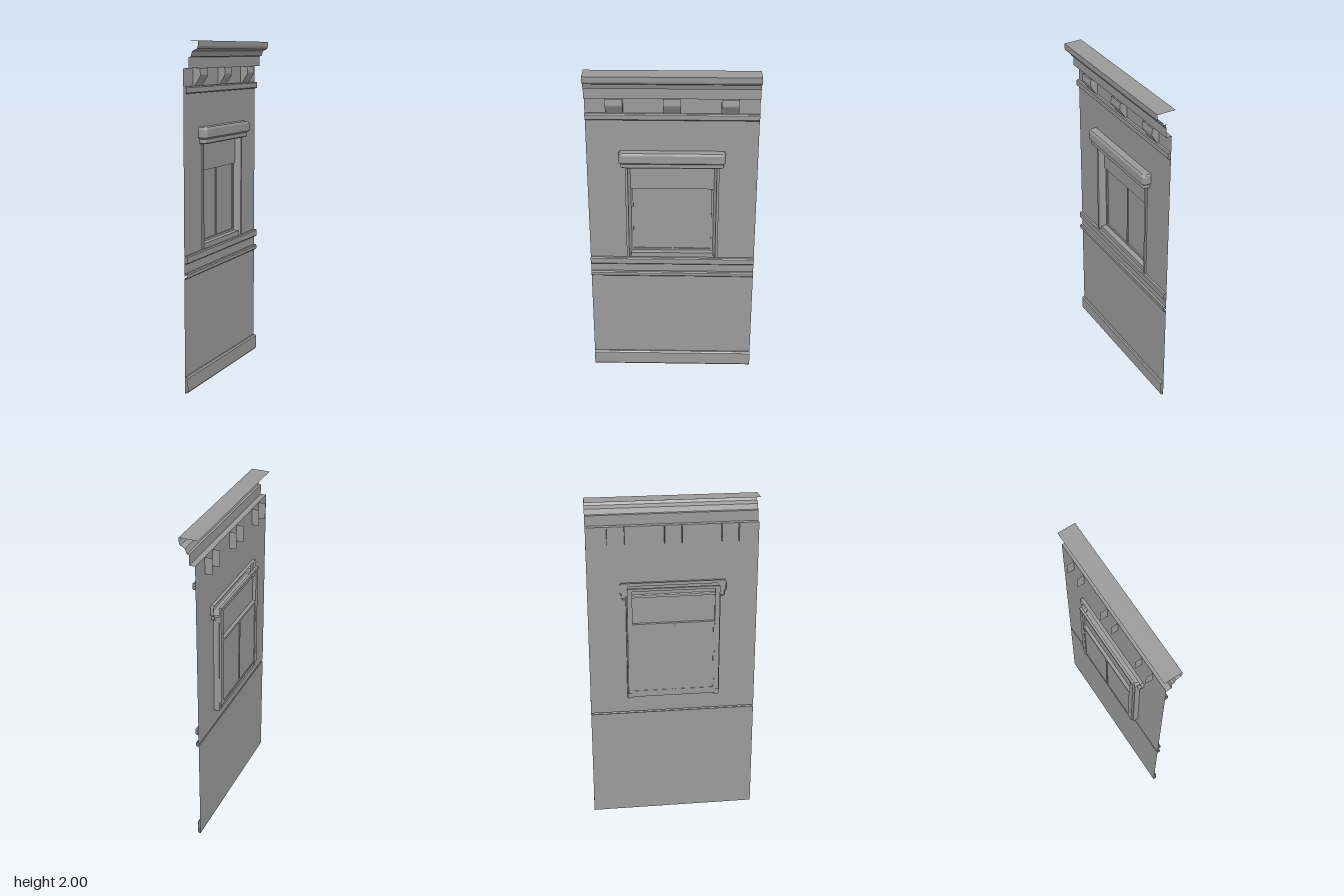
import * as THREE from 'three';

const material = new THREE.MeshStandardMaterial({ color: 0x9a9a9a, flatShading: true, side: THREE.DoubleSide });
const WALL = -0.021;

export function createModel() {
  const model = new THREE.Group();
  model.name = 'facadePanel';

  function add(name, geometry, parent = model) {
    const mesh = new THREE.Mesh(geometry, material);
    mesh.name = name;
    parent.add(mesh);
    return mesh;
  }

  // Box given by its limits on each axis
  function box(name, x0, x1, y0, y1, z0, z1, parent) {
    const g = new THREE.BoxGeometry(x1 - x0, y1 - y0, z1 - z0);
    g.translate((x0 + x1) / 2, (y0 + y1) / 2, (z0 + z1) / 2);
    return add(name, g, parent);
  }

  const points = list => list.map(q => new THREE.Vector2(...q));

  // Open surface joining matching rows of [x, y, z] points
  function loft(rows) {
    const p = [];
    for (let i = 0; i < rows.length - 1; i++) {
      for (let j = 0; j < rows[i].length - 1; j++) {
        const a = rows[i][j], b = rows[i][j + 1], c = rows[i + 1][j + 1], d = rows[i + 1][j];
        p.push(...a, ...b, ...c, ...a, ...c, ...d);
      }
    }
    const g = new THREE.BufferGeometry();
    g.setAttribute('position', new THREE.Float32BufferAttribute(p, 3));
    g.computeVertexNormals();
    return g;
  }

  // [x, y] profile, read upwards, swept along z
  const sweep = (profile, z0 = -0.5, z1 = 0.5) =>
    loft(profile.map(([x, y]) => [[x, y, z1], [x, y, z0]]));

  // Plinth and lower wall
  add('plinth', sweep([[WALL, 0], [-0.01, 0], [-0.004, 0.008], [-0.004, 0.088], [-0.012, 0.097], [WALL, 0.097]]));
  add('lowerWall', sweep([[WALL, 0], [WALL, 0.675]]));

  // Straight mouldings: two string courses below the window, one under the frieze
  for (const [y0, y1] of [[0.67, 0.7], [0.755, 0.8], [1.71, 1.75]]) {
    add('moulding', sweep([
      [WALL, y0], [-0.008, y0], [-0.003, y0 + 0.006], [-0.003, y1 - 0.006], [-0.008, y1], [WALL, y1],
    ]));
  }

  // Upper wall and frieze with the window opening
  const wall = new THREE.Shape(points([[-0.5, 0.685], [0.5, 0.685], [0.5, 1.85], [-0.5, 1.85]]));
  wall.holes.push(new THREE.Path(points([[-0.265, 0.81], [-0.265, 1.49], [0.265, 1.49], [0.265, 0.81]])));
  add('upperWall', new THREE.ShapeGeometry(wall).rotateY(Math.PI / 2).translate(WALL, 0, 0));

  // Crowning cornice
  add('cornice', sweep([
    [WALL, 1.85], [0.013, 1.85], [0.013, 1.91], [0.025, 1.913], [0.035, 1.943],
    [0.05, 1.951], [0.062, 1.956], [0.069, 1.97], [0.07, 2], [-0.04, 2],
  ]));

  // Corbels: two cheeks and a curved face, open at the back
  const nose = [[-0.012, 1.75], [-0.001, 1.766], [0.012, 1.786], [0.022, 1.802], [0.026, 1.813], [0.021, 1.85]];
  const cheek = new THREE.Shape(points([[-0.065, 1.75], ...nose, [-0.065, 1.85]]));
  for (const z of [-0.33, 0, 0.33]) {
    const corbel = new THREE.Group();
    corbel.name = 'corbel';
    corbel.position.z = z;
    model.add(corbel);
    add('corbelFace', sweep(nose, -0.05, 0.05), corbel);
    for (const side of [-1, 1]) add('corbelCheek', new THREE.ShapeGeometry(cheek), corbel).position.z = side * 0.05;
  }

  // Window surround: splayed jambs with casings behind them
  const win = new THREE.Group();
  win.name = 'window';
  model.add(win);
  const jamb = [[-0.055, 0.277], [-0.011, 0.277], [-0.011, 0.262], [-0.027, 0.26], [-0.047, 0.247], [-0.055, 0.247]];
  for (const s of [-1, 1]) {
    const span = (a, b) => (s > 0 ? [a, b] : [-b, -a]);
    const plan = new THREE.Shape(points(jamb.map(([x, z]) => [x, -s * z])));
    const post = new THREE.ExtrudeGeometry(plan, { depth: 0.64, bevelEnabled: false });
    add('jamb', post.rotateX(-Math.PI / 2).translate(0, 0.79, 0), win);
    box('backCasing', -0.067, -0.055, 0.825, 1.49, ...span(0.243, 0.272), win);
    box('sashStile', -0.066, -0.055, 0.83, 1.265, ...span(0.235, 0.247), win);
  }
  box('sill', -0.06, WALL, 0.8, 0.83, -0.25, 0.25, win);
  box('backCasingTop', -0.07, -0.055, 1.475, 1.49, -0.272, 0.272, win);
  box('sashBottomRail', -0.066, -0.055, 0.83, 0.842, -0.235, 0.235, win);
  box('sashTopRail', -0.066, -0.046, 1.255, 1.27, -0.247, 0.247, win);
  box('mullion', -0.067, -0.058, 0.842, 1.255, -0.006, 0.006, win);
  add('upperPanel', sweep([[-0.045, 1.26], [-0.045, 1.43]], -0.248, 0.248), win);
  add('glass', sweep([[-0.063, 0.835], [-0.063, 1.26]], -0.24, 0.24), win);

  // Lintel hood: rounded plan stacked through its moulding, open at the back
  const hoodRow = ([y, inset]) => {
    const r = 0.02, front = 0.031 - inset, end = 0.312 - inset;
    const row = [[-0.04, y, end]];
    const arc = [0, 1, 2, 3, 4].map(i => i * Math.PI / 8);
    for (const a of arc) row.push([front - r + r * Math.sin(a), y, end - r + r * Math.cos(a)]);
    for (const a of arc.reverse()) row.push([front - r + r * Math.sin(a), y, -(end - r + r * Math.cos(a))]);
    row.push([-0.04, y, -end]);
    return row;
  };
  const rows = [
    [1.418, 0.016], [1.424, 0.01], [1.446, 0.01], [1.45, 0.005],
    [1.456, 0], [1.502, 0], [1.51, 0.003], [1.515, 0.009],
  ].map(hoodRow);
  // Top and bottom faces run back to a straight rear edge
  const rear = row => row.map(([, y, z]) => [-0.04, y, z]);
  add('lintelHood', loft([rear(rows[0]), ...rows, rear(rows[rows.length - 1])]), win);

  return model;
}
